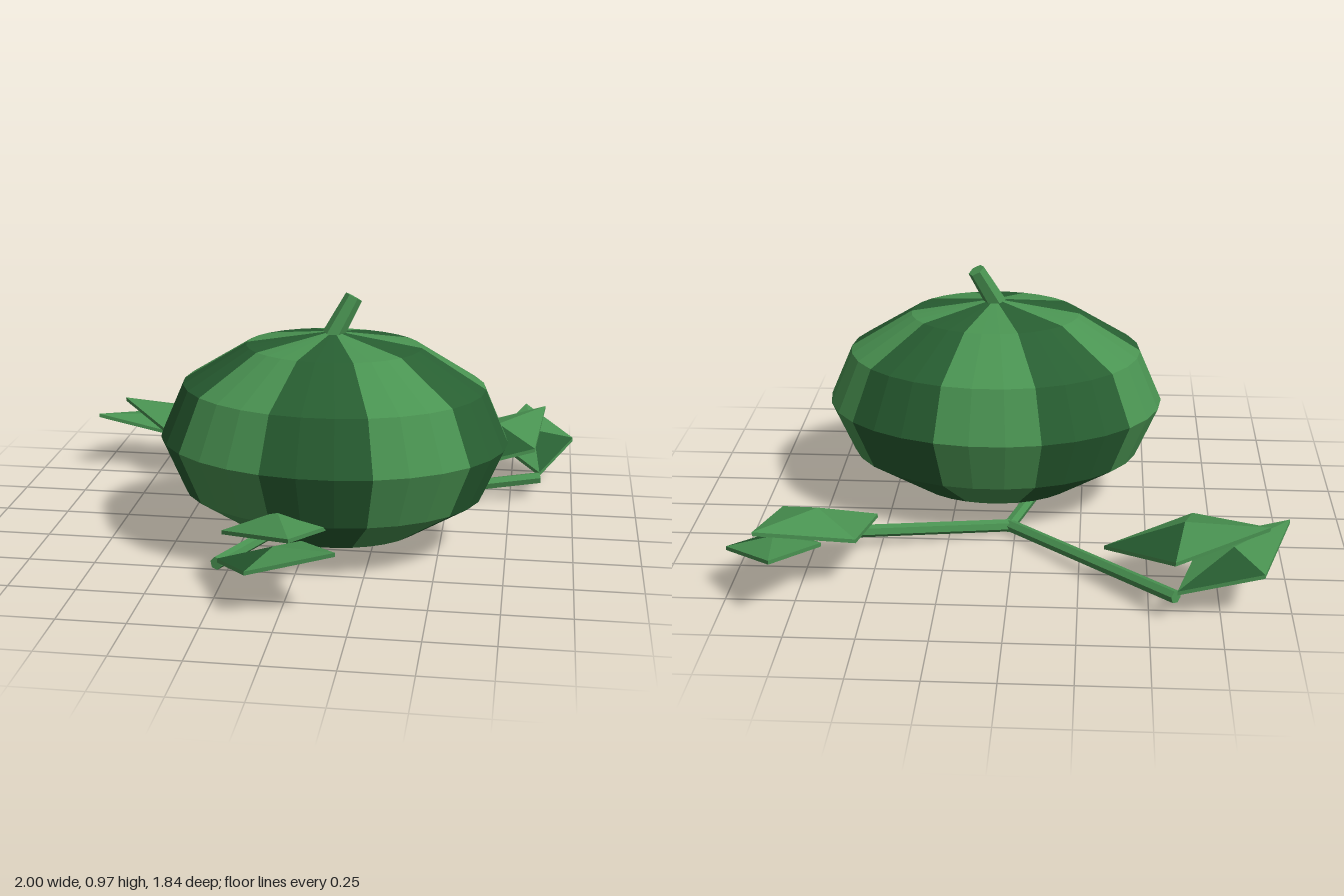
import * as THREE from 'three';

const lightGreen = new THREE.MeshStandardMaterial({ color: 0x4a9452, flatShading: true });
lightGreen.name = 'lightGreen';
const darkGreen = new THREE.MeshStandardMaterial({ color: 0x285f32, flatShading: true });
darkGreen.name = 'darkGreen';

const V = (x, y, z) => new THREE.Vector3(x, y, z);

function addMesh(parent, name, geometry, material) {
  const mesh = new THREE.Mesh(geometry, material);
  mesh.name = name;
  parent.add(mesh);
  return mesh;
}

// Straight faceted rod between two points
function rod(parent, name, from, to, r0, r1, turn = 0) {
  const dir = to.clone().sub(from);
  const geometry = new THREE.CylinderGeometry(r1, r0, dir.length(), 6, 1, false, turn);
  const mesh = addMesh(parent, name, geometry, lightGreen);
  mesh.position.copy(from).add(to).multiplyScalar(0.5);
  mesh.quaternion.setFromUnitVectors(V(0, 1, 0), dir.normalize());
}

// Thin kite-shaped leaf with a raised middle: light top and rim, dark underside and one dark facet
function leafGeometry(base, tip, halfWidth, lift, thickness) {
  const axis = tip.clone().sub(base);
  const mid = base.clone().addScaledVector(axis, 0.49);
  const side = V(-axis.z, 0, axis.x).normalize().multiplyScalar(halfWidth);
  const top = [base, mid.clone().add(side), tip, mid.clone().sub(side), mid.clone().add(V(0, lift, 0))];
  const points = [...top, ...top.map(p => p.clone().sub(V(0, thickness, 0)))];
  const light = [], dark = [];
  for (let i = 0; i < 4; i++) {
    const j = (i + 1) % 4;
    (i === 0 ? dark : light).push(4, i, j);        // upper facet
    dark.push(9, 5 + j, 5 + i);                    // lower facet
    light.push(i, 5 + i, 5 + j, i, 5 + j, j);      // rim
  }
  const geometry = new THREE.BufferGeometry().setFromPoints(points);
  geometry.setIndex([...light, ...dark]);
  const flat = geometry.toNonIndexed();
  flat.addGroup(0, light.length, 0);
  flat.addGroup(light.length, dark.length, 1);
  flat.computeVertexNormals();
  return flat;
}

export function createModel() {
  const model = new THREE.Group();
  model.name = 'melonPlant';

  // Melon: ten alternating wedges of a squashed sphere
  const melon = new THREE.Group();
  melon.name = 'melon';
  melon.position.set(0.095, 0.425, 0.165);
  model.add(melon);
  const wedge = Math.PI / 5;
  for (let k = 0; k < 10; k++) {
    const start = Math.PI / 2 - wedge / 2 + k * wedge;
    const geometry = new THREE.SphereGeometry(1, 2, 6, start, wedge).scale(0.65, 0.405, 0.5);
    addMesh(melon, k % 2 ? 'lightStripe' : 'darkStripe', geometry, k % 2 ? lightGreen : darkGreen);
  }

  // Stem leaning to one side
  rod(model, 'stem', V(0.09, 0.81, 0.168), V(0.165, 0.953, 0.135), 0.04, 0.033, Math.PI / 6);

  // Nub under the joint of the runners
  rod(model, 'rootNub', V(0.025, 0, -0.165), V(0.025, 0.03, -0.165), 0.015, 0.015);

  // Three runners, each with a pair of leaves
  for (const angle of [0.015, 2.08, 4.13]) {
    const runner = new THREE.Group();
    runner.name = 'runner';
    runner.position.set(0.02, 0, -0.18);
    runner.rotation.y = angle;
    model.add(runner);
    rod(runner, 'vine', V(0, 0.03, 0), V(0.85, 0.09, -0.225), 0.024, 0.024);
    addMesh(runner, 'lowerLeaf',
      leafGeometry(V(0.85, 0.11, -0.23), V(0.79, 0.25, -0.73), 0.168, 0.035, 0.015), [lightGreen, darkGreen]);
    addMesh(runner, 'upperLeaf',
      leafGeometry(V(0.49, 0.14, -0.14), V(0.87, 0.285, -0.59), 0.198, 0.06, 0.015), [lightGreen, darkGreen]);
  }
  return model;
}
